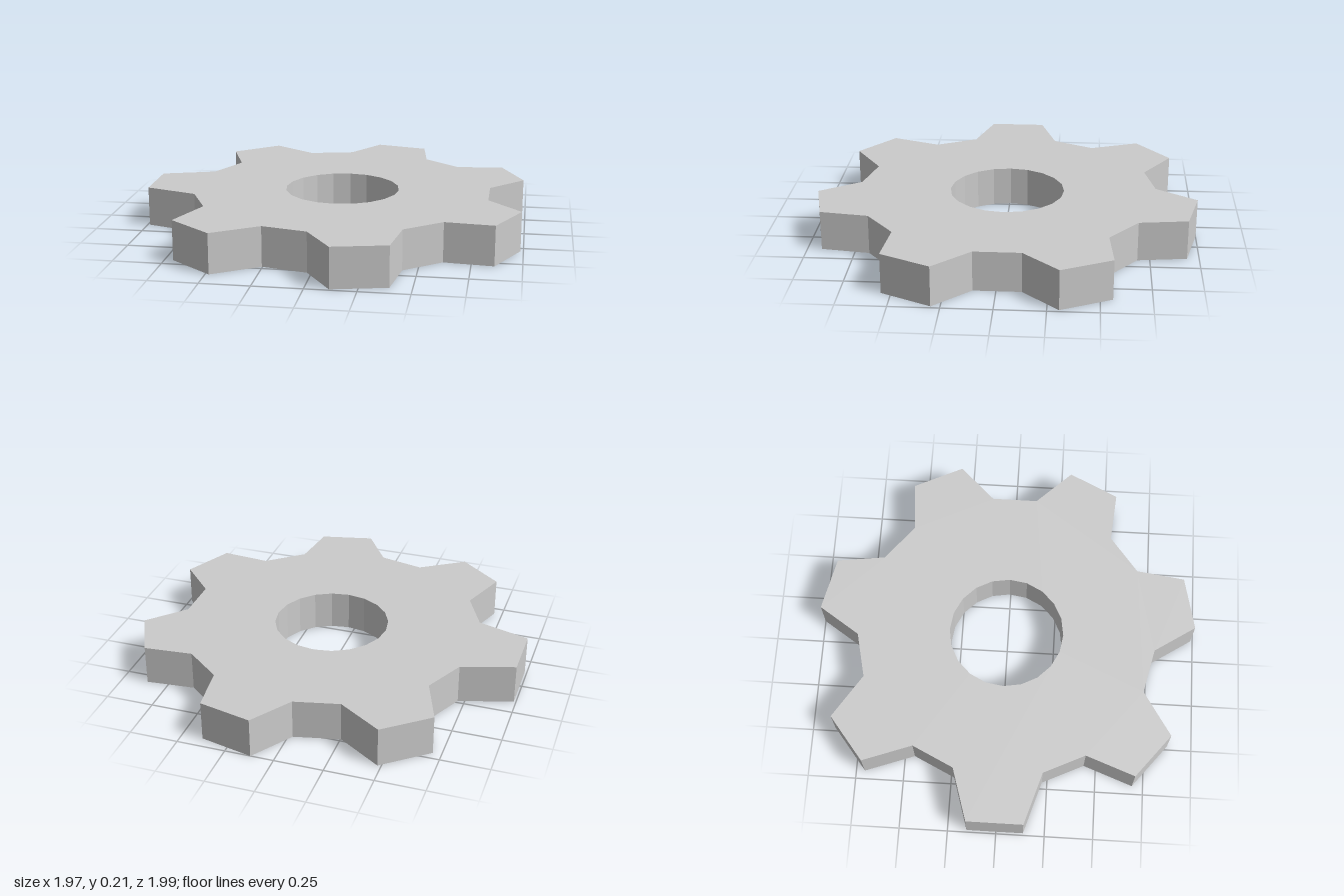
import * as THREE from 'three';

const TEETH = 7;
const ROOT_RADIUS = 0.785;
const HOLE_RADIUS = 0.3;
const THICKNESS = 0.207;
// Tip radius by distance from the longest tooth (-x), same on both sides
const TIP_RADII = [1.034, 1.019, 0.998, 0.997];
// Half angles of a tooth, in degrees, at its root and its tip
const ROOT_HALF = 17;
const TIP_HALF = 8.1;

function polar(radius, degrees) {
  const a = THREE.MathUtils.degToRad(degrees);
  return new THREE.Vector2(radius * Math.cos(a), radius * Math.sin(a));
}

// Outline: root, tip, tip, root for each tooth, straight lines between
function gearOutline() {
  const points = [];
  for (let i = 0; i < TEETH; i++) {
    const angle = 180 + (i * 360) / TEETH;
    const tip = TIP_RADII[Math.min(i, TEETH - i)];
    points.push(
      polar(ROOT_RADIUS, angle - ROOT_HALF),
      polar(tip, angle - TIP_HALF),
      polar(tip, angle + TIP_HALF),
      polar(ROOT_RADIUS, angle + ROOT_HALF),
    );
  }
  return new THREE.Shape(points);
}

export function createModel() {
  const group = new THREE.Group();
  group.name = 'gear';

  // Gear plate with a 20-sided axle hole
  const shape = gearOutline();
  shape.holes.push(new THREE.Path().absarc(0, 0, HOLE_RADIUS, 0, Math.PI * 2, true));
  const geometry = new THREE.ExtrudeGeometry(shape, {
    depth: THICKNESS,
    bevelEnabled: false,
    curveSegments: 10,
  });

  // Lay it flat, with the hub slightly off the centre of the bounds
  geometry.rotateX(-Math.PI / 2);
  geometry.translate(0.035, 0.005, -0.006);

  const material = new THREE.MeshStandardMaterial({ color: 0xcccccc, flatShading: true });
  const plate = new THREE.Mesh(geometry, material);
  plate.name = 'gearPlate';
  group.add(plate);
  return group;
}
